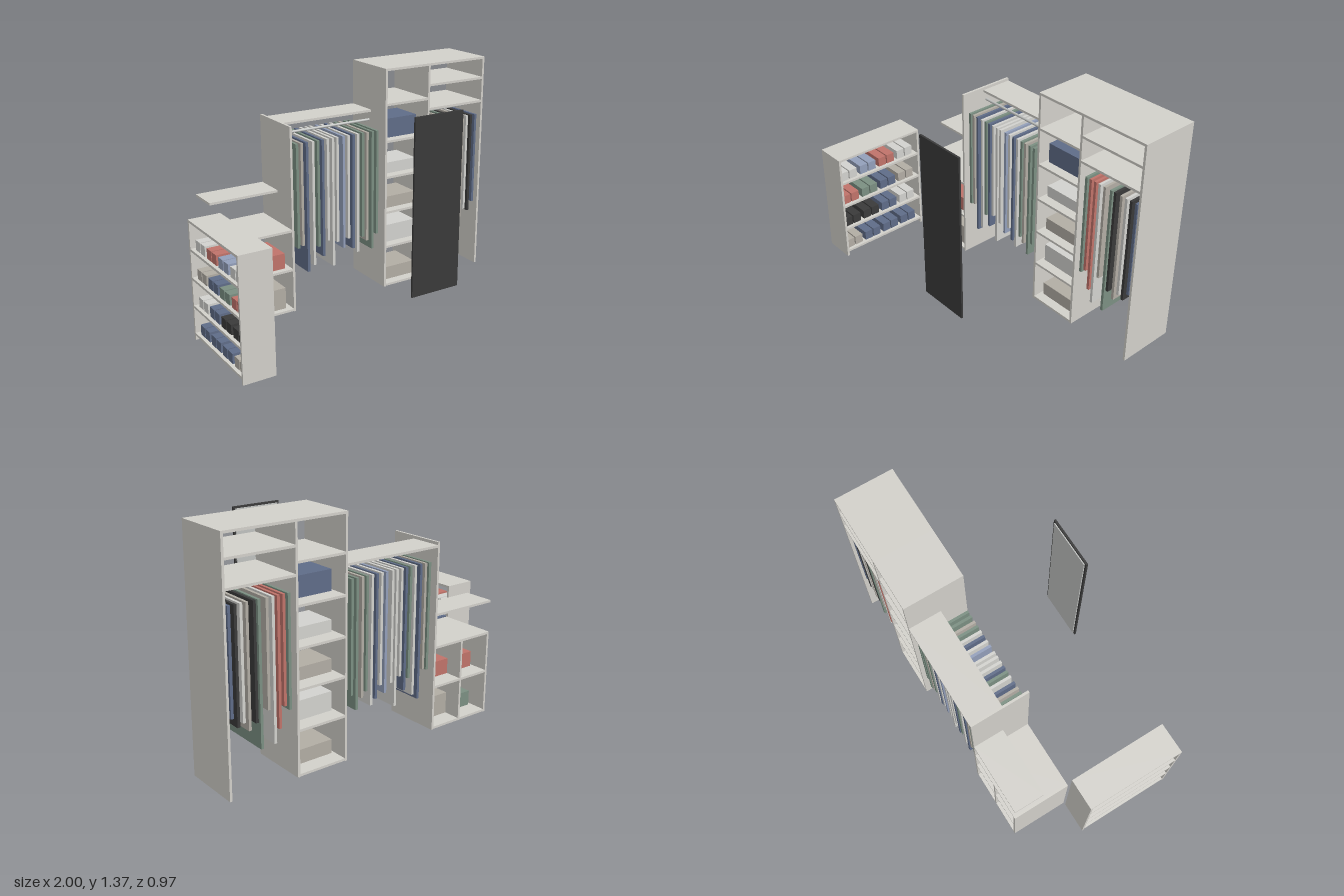
import * as THREE from 'three';

const mat = (name, color) => {
  const m = new THREE.MeshStandardMaterial({ color });
  m.name = name;
  return m;
};

export function createModel() {
  const model = new THREE.Group();
  model.name = 'wardrobe';
  const M = {
    panel: mat('panelWhite', 0xd2d0ca),
    light: mat('clothLight', 0xd2d2ce),
    tan: mat('clothTan', 0xb2ada4),
    red: mat('clothRed', 0xc0736a),
    blue: mat('clothBlue', 0x5f6c88),
    sky: mat('clothPaleBlue', 0x939fba),
    green: mat('clothGreen', 0x7b8f82),
    dark: mat('charcoal', 0x3a3a3a),
    metal: mat('mirrorGrey', 0xc0c2c0),
  };
  const group = (name) => {
    const g = new THREE.Group();
    g.name = name;
    model.add(g);
    return g;
  };
  // box from its low and high corner
  const box = (g, name, material, x0, x1, y0, y1, z0, z1) => {
    const mesh = new THREE.Mesh(new THREE.BoxGeometry(x1 - x0, y1 - y0, z1 - z0), material);
    mesh.position.set((x0 + x1) / 2, (y0 + y1) / 2, (z0 + z1) / 2);
    mesh.name = name;
    g.add(mesh);
  };
  const T = 0.014, BACK = -0.484, FRONT = -0.132, MID = (BACK + FRONT) / 2;
  const upright = (g, name, x, h, y0 = 0) => box(g, name, M.panel, x, x + T, y0, h, BACK, FRONT);
  const shelf = (g, x0, x1, y, z1 = FRONT) => box(g, 'shelf', M.panel, x0, x1, y, y + T, BACK, z1);

  // rail with a row of garments: [x, hem height, colour]
  const rail = (g, x0, x1, clothes) => {
    const rod = new THREE.Mesh(new THREE.CylinderGeometry(0.008, 0.008, x1 - x0, 12), M.metal);
    rod.rotation.z = Math.PI / 2;
    rod.position.set((x0 + x1) / 2, 1.033, MID);
    rod.name = 'hangingRail';
    g.add(rod);
    for (const [x, hem, c] of clothes)
      box(g, 'garment', M[c], x - 0.008, x + 0.008, hem, 1.005, MID - 0.16, MID + 0.16);
  };

  // tall tower with shelves
  const tower = group('shelfTower');
  upright(tower, 'towerLeftPanel', 0.265, 1.368);
  upright(tower, 'towerRightPanel', 0.573, 1.368);
  for (const y of [0.003, 0.256, 0.479, 0.701, 0.924, 1.147, 1.354]) shelf(tower, 0.279, 0.573, y);
  for (const [y, h, c] of [[0.017, 0.082, 'tan'], [0.27, 0.111, 'light'], [0.493, 0.073, 'tan'],
    [0.715, 0.068, 'light'], [0.938, 0.117, 'blue']])
    box(tower, 'storageBox', M[c], 0.297, 0.528, y, y + h, -0.39, -0.19);

  // tall hanging bay
  const tall = group('tallHangingBay');
  upright(tall, 'endPanel', 0.986, 1.368);
  for (const y of [1.083, 1.229, 1.354]) shelf(tall, 0.587, 0.986, y);
  rail(tall, 0.587, 0.986, [
    [0.617, 0.388, 'green'], [0.648, 0.415, 'red'], [0.68, 0.3, 'red'], [0.711, 0.227, 'light'],
    [0.746, 0.42, 'tan'], [0.791, 0.22, 'green'], [0.818, 0.37, 'dark'], [0.86, 0.34, 'tan'],
    [0.893, 0.39, 'light'], [0.925, 0.375, 'dark'], [0.96, 0.43, 'blue']]);

  // middle hanging bay
  const middle = group('middleHangingBay');
  upright(middle, 'bayPanel', -0.374, 1.115);
  shelf(middle, -0.36, 0.265, 1.084, -0.288);
  rail(middle, -0.36, 0.265, [
    [-0.321, 0.38, 'green'], [-0.291, 0.39, 'tan'], [-0.257, 0.22, 'blue'], [-0.217, 0.253, 'light'],
    [-0.184, 0.362, 'green'], [-0.153, 0.296, 'blue'], [-0.12, 0.387, 'light'], [-0.086, 0.22, 'light'],
    [-0.056, 0.365, 'light'], [-0.013, 0.317, 'sky'], [0.02, 0.37, 'light'], [0.053, 0.3, 'blue'],
    [0.085, 0.27, 'light'], [0.12, 0.36, 'green'], [0.15, 0.33, 'tan'], [0.187, 0.27, 'green'],
    [0.22, 0.36, 'green']]);

  // low cubby unit and the wall shelf above it
  const cubby = group('cubbyUnit');
  upright(cubby, 'cubbySide', -0.798, 0.51);
  upright(cubby, 'cubbyDivider', -0.585, 0.496, 0.014);
  for (const y of [0.003, 0.256, 0.496]) shelf(cubby, -0.784, -0.374, y);
  shelf(cubby, -0.798, -0.374, 0.69, -0.298);
  for (const [x, y, h, c] of [[-0.765, 0.27, 0.093, 'red'], [-0.571, 0.27, 0.093, 'red'],
    [-0.765, 0.017, 0.09, 'green'], [-0.571, 0.017, 0.13, 'tan']])
    box(cubby, 'cubbyBox', M[c], x, x + 0.163, y, y + h, -0.38, -0.165);

  // shoe rack standing sideways
  const rack = group('shoeRack');
  const R0 = -0.128, R1 = 0.47;
  box(rack, 'rackBackSide', M.panel, -1, -0.812, 0, 0.702, R0, R0 + T);
  box(rack, 'rackFrontSide', M.panel, -1, -0.812, 0, 0.702, R1 - T, R1);
  box(rack, 'rackTop', M.panel, -1, -0.812, 0.688, 0.702, R0 + T, R1 - T);
  const rows = [
    [0.029, ['tan', 'blue', 'blue', 'blue']],
    [0.194, ['dark', 'dark', 'blue', 'light']],
    [0.359, ['red', 'green', 'blue', 'tan']],
    [0.525, ['light', 'sky', 'red', 'light']],
  ];
  for (const [y, colours] of rows) {
    box(rack, 'rackShelf', M.panel, -1, -0.812, y, y + T, R0 + T, R1 - T);
    colours.forEach((c, i) => {
      for (const s of [-1, 1]) {
        const z = 0.396 - i * 0.1405 + s * 0.031;
        box(rack, 'shoe', M[c], -0.98, -0.832, y + T, y + T + 0.058, z - 0.027, z + 0.027);
      }
    });
  }

  // sliding door with a mirror on its inner face
  const door = group('mirrorDoor');
  box(door, 'doorPanel', M.dark, 0.028, 0.342, 0.226, 1.242, 0.472, 0.484);
  box(door, 'mirrorGlass', M.metal, 0.04, 0.33, 0.238, 1.23, 0.466, 0.472);
  return model;
}
